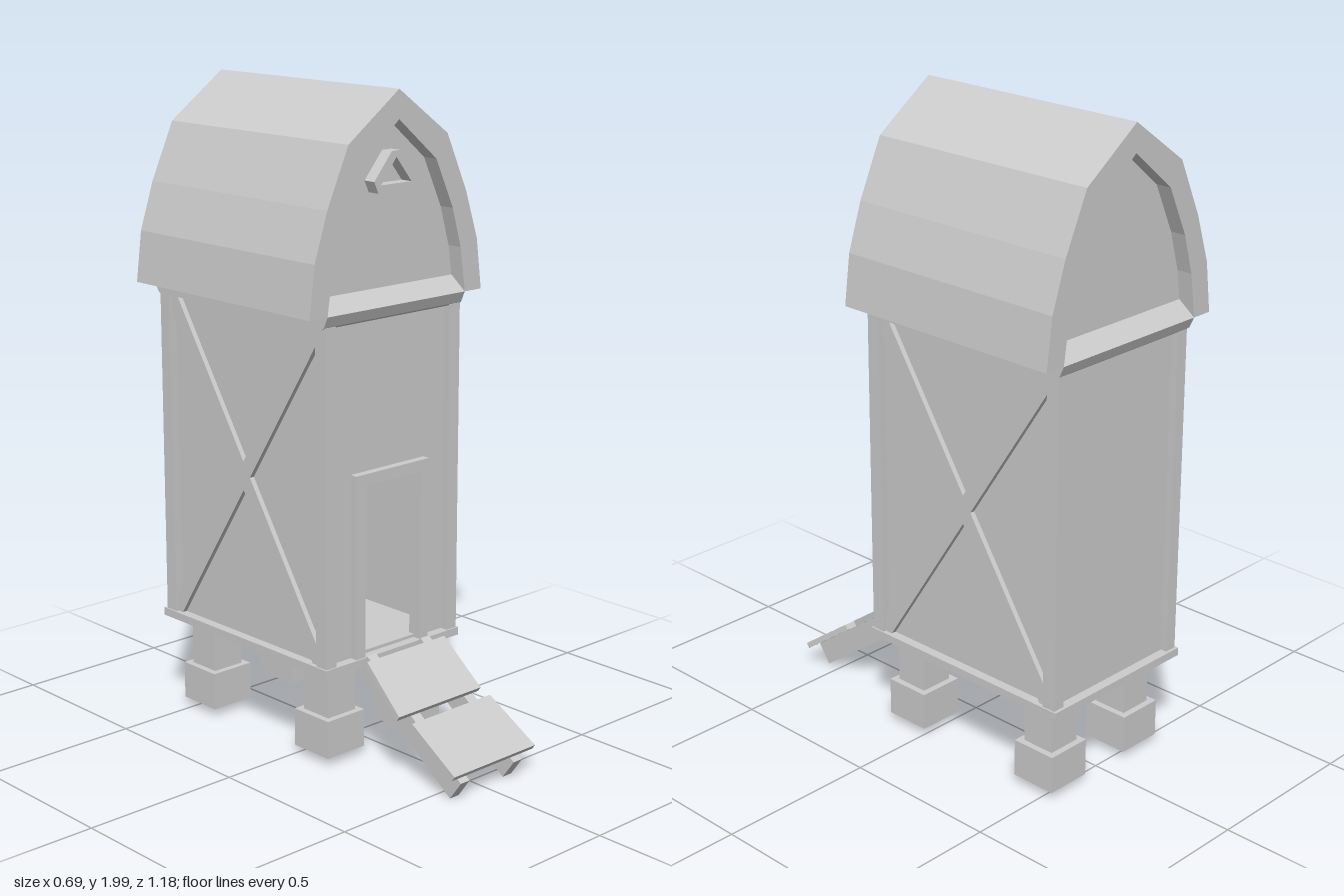
import * as THREE from 'three';

const mat = new THREE.MeshStandardMaterial({ color: 0xcccccc, flatShading: true, side: THREE.DoubleSide });
const MID = -0.2; // z of the tower's centre line

function add(parent, name, geo) {
  const mesh = new THREE.Mesh(geo, mat);
  mesh.name = name;
  parent.add(mesh);
  return mesh;
}

// Box given by its min and max on each axis
function box(parent, name, [x0, x1], [y0, y1], [z0, z1]) {
  const geo = new THREE.BoxGeometry(x1 - x0, y1 - y0, z1 - z0);
  geo.translate((x0 + x1) / 2, (y0 + y1) / 2, (z0 + z1) / 2);
  return add(parent, name, geo);
}

const toShape = pts => new THREE.Shape(pts.map(p => new THREE.Vector2(...p)));

// Outline in x,y pushed from z0 to z1, with an optional hole
function slabZ(parent, name, pts, z0, z1, hole) {
  const shape = toShape(pts);
  if (hole) shape.holes.push(toShape(hole));
  const geo = new THREE.ExtrudeGeometry(shape, { depth: z1 - z0, bevelEnabled: false });
  geo.translate(0, 0, z0);
  return add(parent, name, geo);
}

// Outline in z,y pushed from x0 to x1
function slabX(parent, name, pts, x0, x1) {
  const shape = toShape(pts.map(([z, y]) => [-z, y]));
  const geo = new THREE.ExtrudeGeometry(shape, { depth: x1 - x0, bevelEnabled: false });
  geo.rotateY(Math.PI / 2).translate(x0, 0, 0);
  return add(parent, name, geo);
}

const rect = (x0, x1, y0, y1) => [[x0, y0], [x1, y0], [x1, y1], [x0, y1]];

// Right half of an arch, mirrored into a full run from right to left
const arch = half => [...half, ...half.slice(0, -1).reverse().map(([x, y]) => [-x, y])];

export function createModel() {
  const model = new THREE.Group();
  model.name = 'towerShed';

  // Stilts on square footings
  for (const x of [-0.161, 0.161]) {
    for (const z of [0.068, -0.46]) {
      box(model, 'footing', [x - 0.074, x + 0.074], [0.03, 0.148], [z - 0.074, z + 0.074]);
      box(model, 'stilt', [x - 0.054, x + 0.054], [0.148, 0.33], [z - 0.054, z + 0.054]);
    }
  }

  // Floor and the sill frame around it
  box(model, 'floor', [-0.245, 0.245], [0.318, 0.34], [-0.55, 0.15]);
  for (const s of [-1, 1]) {
    const x = s * 0.25, z = MID + s * 0.355;
    box(model, 'sideSill', [x - 0.025, x + 0.025], [0.305, 0.33], [-0.58, 0.18]);
    box(model, 'endSill', [-0.225, 0.225], [0.305, 0.33], [z - 0.025, z + 0.025]);
  }

  // Walls, front one with the doorway
  slabZ(model, 'frontWall', rect(-0.24, 0.24, 0.33, 1.36), 0.13, 0.15, rect(-0.113, 0.113, 0.34, 0.86));
  box(model, 'backWall', [-0.24, 0.24], [0.33, 1.36], [-0.55, -0.53]);
  for (const s of [-1, 1]) {
    const x = s * 0.235;
    box(model, 'sideWall', [x - 0.01, x + 0.01], [0.33, 1.36], [-0.54, 0.14]);
  }

  // Corner posts
  for (const x of [-0.25, 0.25]) {
    for (const z of [0.153, -0.548]) {
      box(model, 'cornerPost', [x - 0.02, x + 0.02], [0.33, 1.35], [z - 0.022, z + 0.022]);
    }
  }

  // Crossed braces, cut to fit into the corners
  const brace = [[0.13, 0.33], [0.105, 0.33], [-0.53, 1.3], [-0.53, 1.345], [-0.5, 1.345], [0.13, 0.38]];
  const mirrored = brace.map(([z, y]) => [2 * MID - z, y]);
  for (const x0 of [-0.261, 0.241]) {
    slabX(model, 'brace', brace, x0, x0 + 0.02);
    slabX(model, 'brace', mirrored, x0, x0 + 0.02);
  }

  // Door frame, open at the bottom
  slabZ(model, 'doorFrame', [
    [-0.15, 0.33], [-0.113, 0.33], [-0.113, 0.86], [0.113, 0.86],
    [0.113, 0.33], [0.147, 0.33], [0.147, 0.895], [-0.15, 0.895],
  ], 0.14, 0.175);

  // Sloped cornice between the walls and the gables
  const ledge = [[0.165, 1.345], [0.175, 1.352], [0.19, 1.385], [0.14, 1.43]];
  slabX(model, 'cornice', [...ledge, ...ledge.slice().reverse().map(([z, y]) => [2 * MID - z, y])], -0.275, 0.275);

  // Thick curved roof and the gable walls set back inside it
  const outer = arch([[0.343, 1.385], [0.323, 1.54], [0.275, 1.685], [0.195, 1.86], [0, 2]]);
  const inner = arch([[0.275, 1.385], [0.255, 1.52], [0.22, 1.64], [0.15, 1.79], [0, 1.915]]);
  slabZ(model, 'roof', [...outer, ...inner.slice().reverse()], -0.59, 0.19);
  slabZ(model, 'frontGable', inner, 0.12, 0.14);
  slabZ(model, 'backGable', inner, -0.54, -0.52);

  // Small triangular window frame with clipped corners
  slabZ(model, 'gableWindowFrame', [
    [-0.07, 1.71], [0.07, 1.71], [0.087, 1.745], [0.018, 1.826], [-0.018, 1.826], [-0.087, 1.745],
  ], 0.135, 0.18, [[-0.06, 1.733], [0.06, 1.733], [0, 1.808]]);

  // Ramp: two rails with two uneven boards, tilted down to the ground
  const ramp = new THREE.Group();
  ramp.name = 'ramp';
  ramp.position.set(0, 0.345, 0.2);
  ramp.rotation.x = Math.atan2(0.28, 0.39);
  model.add(ramp);
  for (const x of [-0.112, 0.11]) {
    box(ramp, 'rampRail', [x - 0.018, x + 0.018], [-0.073, 0], [0, 0.48]);
  }
  const boards = [
    [[-0.161, 0.027], [0.161, 0.027], [0.152, 0.228], [-0.188, 0.228]],
    [[-0.162, 0.261], [0.165, 0.261], [0.188, 0.462], [-0.152, 0.462]],
  ];
  for (const pts of boards) {
    const geo = new THREE.ExtrudeGeometry(toShape(pts), { depth: 0.018, bevelEnabled: false });
    geo.rotateX(Math.PI / 2).translate(0, 0.018, 0);
    add(ramp, 'rampBoard', geo);
  }

  return model;
}
